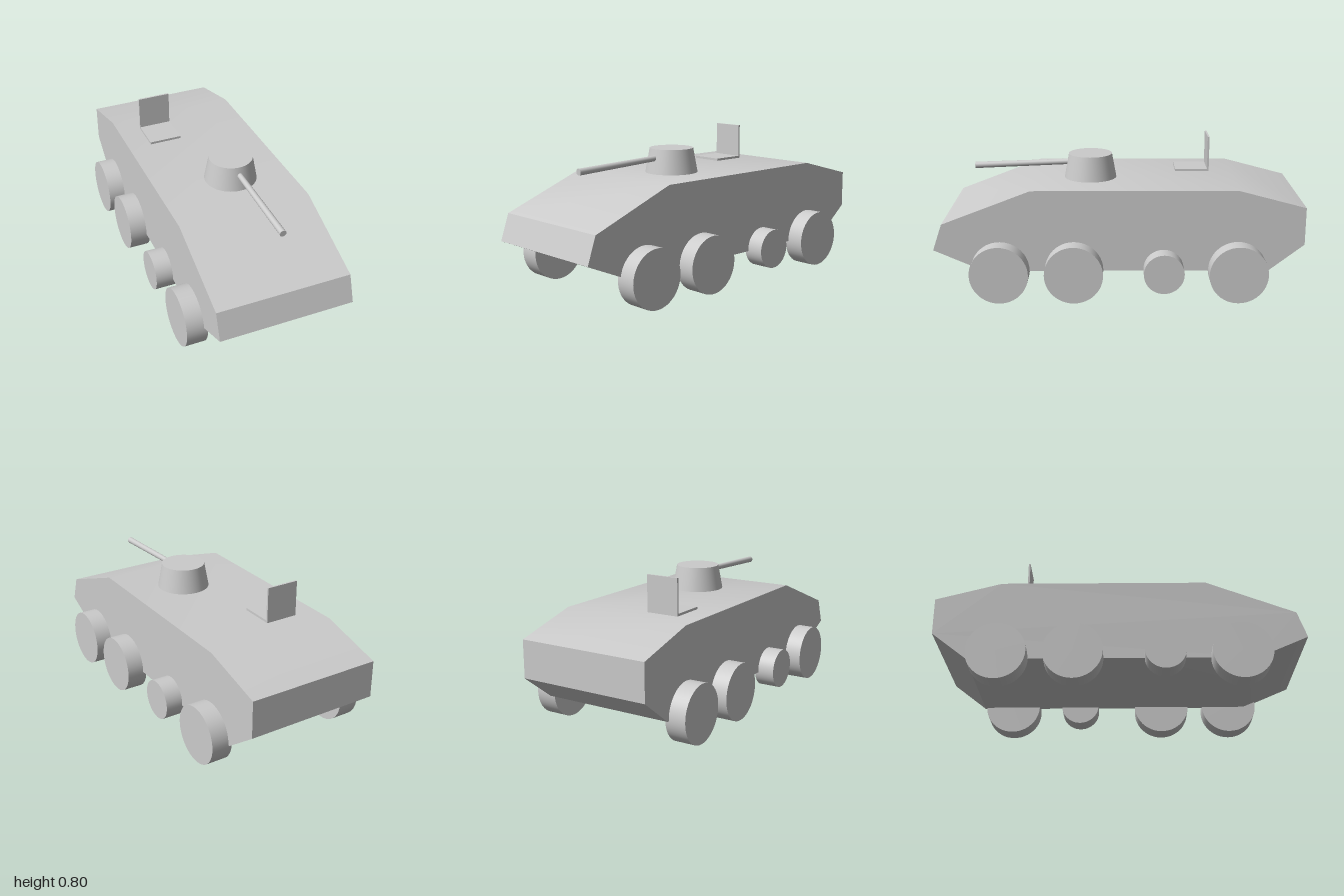
import * as THREE from 'three';
import { toCreasedNormals } from 'three/addons/utils/BufferGeometryUtils.js';

export function createModel() {
  const model = new THREE.Group();
  model.name = 'armouredCarrier';
  const material = new THREE.MeshStandardMaterial({ color: 0xcccccc });

  function add(name, geometry, x = 0, y = 0, z = 0, parent = model) {
    const mesh = new THREE.Mesh(geometry, material);
    mesh.name = name;
    mesh.position.set(x, y, z);
    parent.add(mesh);
    return mesh;
  }

  // Hull: side profile in (z, y), extruded across the width
  const halfWidth = 0.37;
  const profile = [
    [1, 0.27], [0.95, 0.415], [0.47, 0.6], [-0.64, 0.6],
    [-1, 0.505], [-1, 0.3], [-0.81, 0.152], [0.73, 0.152],
  ].map(([z, y]) => new THREE.Vector2(-z, y));
  const hull = new THREE.ExtrudeGeometry(new THREE.Shape(profile), {
    depth: halfWidth * 2, bevelEnabled: false,
  });
  hull.translate(0, 0, -halfWidth);
  hull.rotateY(Math.PI / 2);
  add('hull', toCreasedNormals(hull, Math.PI / 6));

  // Wheels: four a side, the small one in a different place on each side
  const big = 0.158, small = 0.109;
  const wheelRows = {
    left: { side: 1, wheels: [[0.642, big], [0.242, big], [-0.242, small], [-0.642, big]] },
    right: { side: -1, wheels: [[0.642, big], [0.242, small], [-0.242, big], [-0.642, big]] },
  };
  for (const [label, { side, wheels }] of Object.entries(wheelRows)) {
    const row = new THREE.Group();
    row.name = label + 'Wheels';
    model.add(row);
    wheels.forEach(([z, radius], i) => {
      const wheel = new THREE.CylinderGeometry(radius, radius, 0.115, 48);
      wheel.rotateZ(Math.PI / 2);
      add(`${label}Wheel${i + 1}`, wheel, side * 0.407, radius === big ? big : 0.163, z, row);
    });
  }

  // Turret, set slightly to the left of the centre line
  const turret = new THREE.Group();
  turret.name = 'turret';
  turret.position.set(0.052, 0, 0.157);
  model.add(turret);
  add('turretBody', new THREE.CylinderGeometry(0.12, 0.145, 0.137, 48), 0, 0.6655, 0, turret);

  // Gun barrel, drooping a little towards the muzzle
  const start = new THREE.Vector3(0, 0.688, 0.05);
  const muzzle = new THREE.Vector3(0, 0.665, 0.643);
  const along = muzzle.clone().sub(start);
  const barrel = add('gunBarrel',
    new THREE.CylinderGeometry(0.018, 0.015, along.length(), 24), 0, 0, 0, turret);
  barrel.position.copy(start).add(muzzle).multiplyScalar(0.5);
  barrel.quaternion.setFromUnitVectors(new THREE.Vector3(0, 1, 0), along.normalize());

  // Roof hatch: a flat frame plate and the lid standing open behind it
  const hatch = new THREE.Group();
  hatch.name = 'hatch';
  hatch.position.set(-0.148, 0, 0);
  model.add(hatch);
  add('hatchBase', new THREE.BoxGeometry(0.184, 0.014, 0.192), 0, 0.606, -0.42, hatch);
  add('hatchLid', new THREE.BoxGeometry(0.184, 0.196, 0.01), 0, 0.702, -0.512, hatch);

  return model;
}
